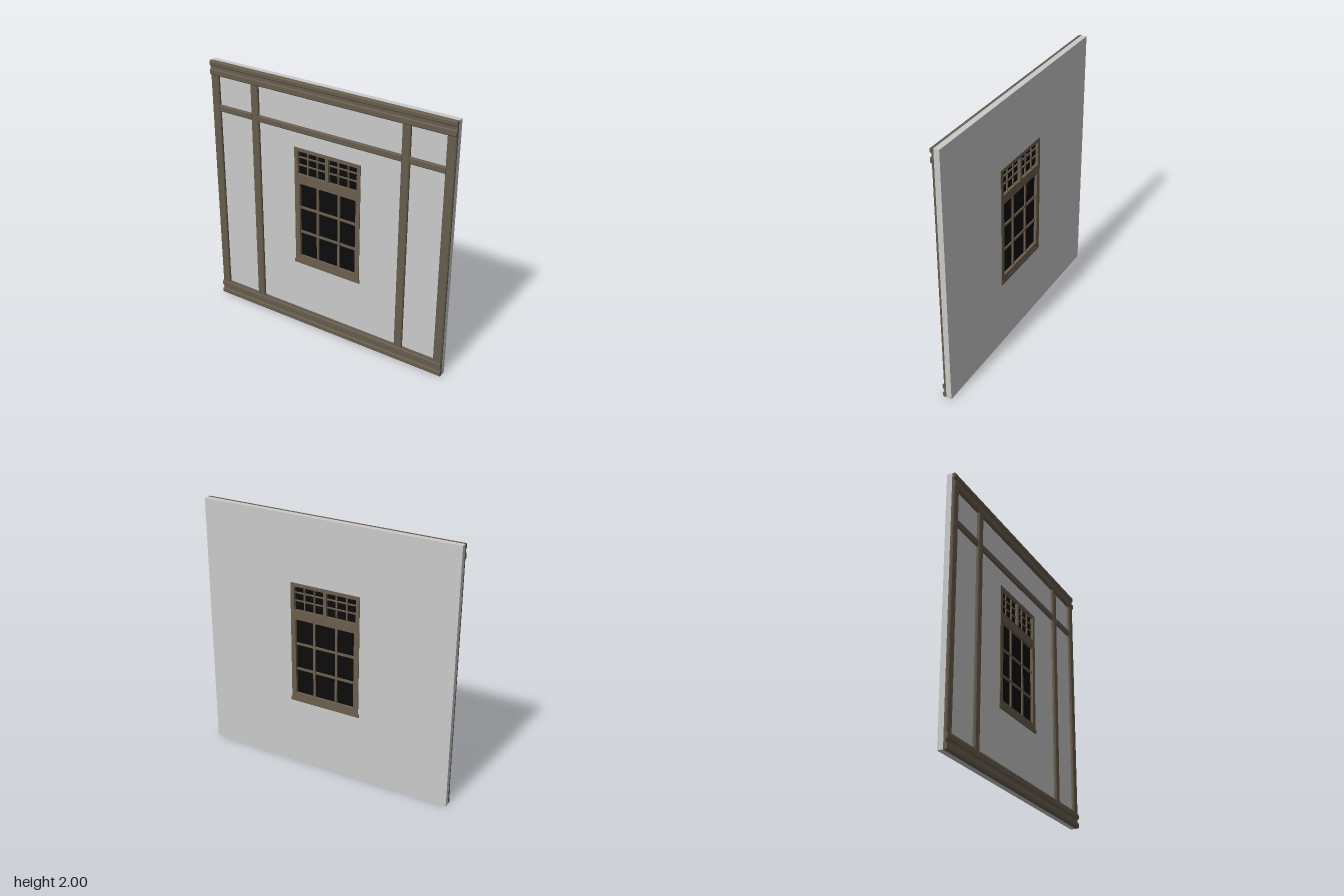
import * as THREE from 'three';

const plaster = new THREE.MeshStandardMaterial({ color: 0xcacaca, name: 'plaster' });
const timber = new THREE.MeshStandardMaterial({ color: 0x675c4e, name: 'timber' });
const windowWood = new THREE.MeshStandardMaterial({ color: 0x6a5d4c, name: 'window wood' });
const glass = new THREE.MeshStandardMaterial({ color: 0x0c0c0c, name: 'dark glass' });

const WALL_BACK = -0.032, WALL_FRONT = 0.01;
const MID = (WALL_BACK + WALL_FRONT) / 2;

export function createModel() {
  const model = new THREE.Group();
  model.name = 'timberWall';

  const add = (parent, name, geometry, material) => {
    const mesh = new THREE.Mesh(geometry, material);
    mesh.name = name;
    parent.add(mesh);
    return mesh;
  };

  // Box given by its limits
  const box = (parent, name, material, x0, x1, y0, y1, z0, z1) =>
    add(parent, name, new THREE.BoxGeometry(x1 - x0, y1 - y0, z1 - z0), material)
      .position.set((x0 + x1) / 2, (y0 + y1) / 2, (z0 + z1) / 2);

  // Rectangular plate with rectangular openings, each [x0, x1, y0, y1]
  const rect = (path, [x0, x1, y0, y1]) =>
    path.moveTo(x0, y0).lineTo(x1, y0).lineTo(x1, y1).lineTo(x0, y1).closePath();
  const plate = (parent, name, material, outer, holes, z0, z1) => {
    const shape = rect(new THREE.Shape(), outer);
    for (const h of holes) shape.holes.push(rect(new THREE.Path(), h));
    const g = new THREE.ExtrudeGeometry(shape, { depth: z1 - z0, bevelEnabled: false });
    add(parent, name, g.translate(0, 0, z0), material);
  };

  // Beam with chamfered front edges along its length
  const beam = (name, x0, x1, y0, y1, z1, upright) => {
    const w = upright ? x1 - x0 : y1 - y0, len = upright ? y1 - y0 : x1 - x0;
    const d = z1 - WALL_FRONT, c = 0.007, h = w / 2;
    const s = new THREE.Shape([[-h, 0], [h, 0], [h, d - c], [h - c, d], [c - h, d], [-h, d - c]]
      .map(([x, y]) => new THREE.Vector2(x, y)));
    const g = new THREE.ExtrudeGeometry(s, { depth: len, bevelEnabled: false });
    g.translate(0, 0, -len / 2).rotateX(Math.PI / 2);
    if (!upright) g.rotateZ(Math.PI / 2);
    add(model, name, g, timber).position.set((x0 + x1) / 2, (y0 + y1) / 2, WALL_FRONT);
  };

  // Plaster wall with window opening
  plate(model, 'wall', plaster, [-1, 1, 0, 2], [[-0.26, 0.27, 0.55, 1.475]], WALL_BACK, WALL_FRONT);

  // Upright posts
  for (const [name, x0, x1] of [['outerPostRight', -1, -0.932], ['innerPostRight', -0.642, -0.578],
    ['innerPostLeft', 0.605, 0.668], ['outerPostLeft', 0.932, 1]])
    beam(name, x0, x1, 0.1, 1.9, 0.03, true);

  // Cross rail between the posts
  for (const [x0, x1] of [[-0.932, -0.642], [-0.578, 0.605], [0.668, 0.932]])
    beam('crossRail', x0, x1, 1.613, 1.663, 0.028, false);

  // Grooved top and bottom rails
  box(model, 'topRailCore', timber, -1, 1, 1.893, 2, WALL_FRONT, 0.026);
  beam('topRailUpper', -1, 1, 1.962, 2, 0.037, false);
  beam('topRailLower', -1, 1, 1.891, 1.938, 0.037, false);
  box(model, 'bottomRailCore', timber, -1, 1, 0, 0.122, WALL_FRONT, 0.026);
  beam('bottomRailUpper', -1, 1, 0.068, 0.113, 0.037, false);
  beam('bottomRailLower', -1, 1, 0, 0.043, 0.037, false);

  // Window frame through the wall
  const win = new THREE.Group();
  win.name = 'window';
  model.add(win);
  const lights = [
    { r: [-0.245, -0.008, 1.282, 1.465], xs: [-0.167, -0.084], ys: [1.353, 1.415], t: 0.009 },
    { r: [0.018, 0.255, 1.282, 1.465], xs: [0.095, 0.177], ys: [1.353, 1.415], t: 0.009 },
    { r: [-0.233, 0.248, 0.6, 1.208], xs: [-0.083, 0.099], ys: [0.803, 1.008], t: 0.017 },
  ];
  plate(win, 'windowFrame', windowWood, [-0.275, 0.285, 0.55, 1.492], lights.map(l => l.r),
    WALL_BACK - 0.004, WALL_FRONT + 0.004);
  box(win, 'windowSill', windowWood, -0.281, 0.291, 0.533, 0.562, WALL_BACK - 0.006, WALL_FRONT + 0.008);

  // Panes and glazing bars
  for (const { r: [x0, x1, y0, y1], xs, ys, t } of lights) {
    box(win, 'pane', glass, x0, x1, y0, y1, MID - 0.003, MID + 0.003);
    for (const x of xs)
      box(win, 'verticalBar', windowWood, x - t / 2, x + t / 2, y0, y1, MID - 0.014, MID + 0.014);
    for (const y of ys)
      box(win, 'horizontalBar', windowWood, x0, x1, y - t / 2, y + t / 2, MID - 0.013, MID + 0.013);
  }
  return model;
}
